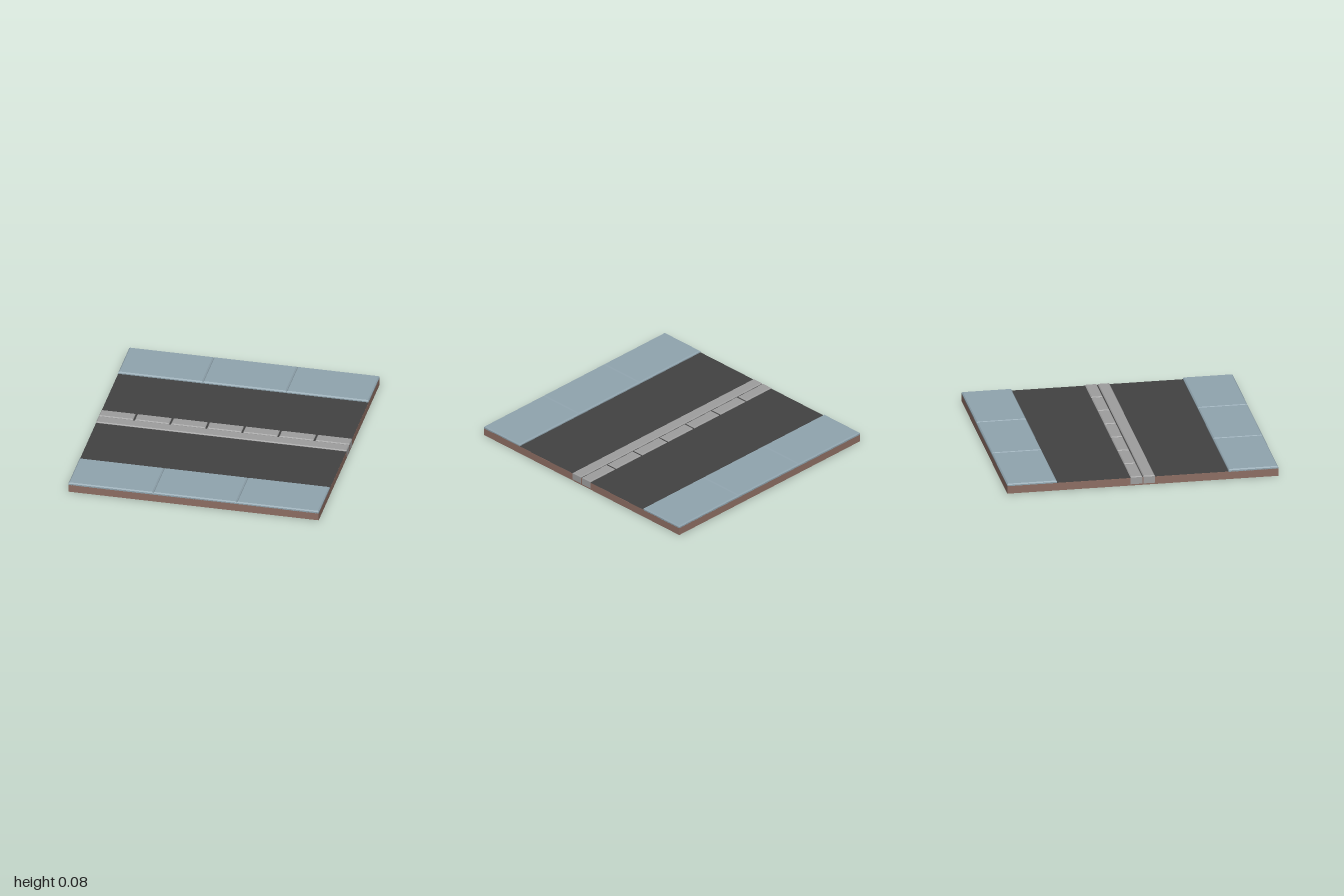
import * as THREE from 'three';

const HALF_X = 0.932;
const ROAD_Y = 0.059;

// Block spanning min..max whose top edges are chamfered by c.
function chamferedBlock([x0, y0, z0], [x1, y1, z1], c) {
  const w = x1 - x0, h = y1 - y0, d = z1 - z0;
  const box = new THREE.BoxGeometry(w, h, d, 1, 2, 1);
  const p = box.attributes.position;
  for (let i = 0; i < p.count; i++) {
    const y = p.getY(i);
    if (Math.abs(y) < 1e-6) p.setY(i, h / 2 - c);
    else if (y > 0) {
      p.setX(i, p.getX(i) * (1 - 2 * c / w));
      p.setZ(i, p.getZ(i) * (1 - 2 * c / d));
    }
  }
  const geometry = box.toNonIndexed();
  geometry.translate((x0 + x1) / 2, (y0 + y1) / 2, (z0 + z1) / 2);
  geometry.computeVertexNormals();
  return geometry;
}

export function createModel() {
  const group = new THREE.Group();
  const paint = (color) => new THREE.MeshStandardMaterial({ color });
  const earth = paint(0x8d6e63), asphalt = paint(0x424242);
  const paving = paint(0x90a4ae), marking = paint(0x9e9e9e);

  const add = (name, geometry, material) => {
    const mesh = new THREE.Mesh(geometry, material);
    mesh.name = name;
    group.add(mesh);
    return mesh;
  };

  // Earth base with the road surface on top
  const baseHeight = ROAD_Y - 0.001;
  add('base', new THREE.BoxGeometry(HALF_X * 2, baseHeight, 2).translate(0, baseHeight / 2, 0), earth);
  add('roadSurface', new THREE.PlaneGeometry(HALF_X * 2, 2).rotateX(-Math.PI / 2).translate(0, ROAD_Y, 0), asphalt);

  // Three paving slabs along each side
  const joints = [-HALF_X, -0.302, 0.32, HALF_X];
  for (const [side, z0, z1] of [['front', 0.633, 1], ['back', -1, -0.633]]) {
    for (let i = 0; i < 3; i++) {
      add(`${side}PavingSlab${i + 1}`,
        chamferedBlock([joints[i], 0.056, z0], [joints[i + 1], 0.075, z1], 0.008), paving);
    }
  }

  // Solid centre line, and the dashed line behind it
  const end = HALF_X + 0.001;
  add('solidLine', chamferedBlock([-end, 0.01, 0.004], [end, 0.068, 0.09], 0.006), marking);
  const count = 7, gap = 0.014;
  const length = (2 * end - gap * (count - 1)) / count;
  for (let i = 0; i < count; i++) {
    const x = -end + i * (length + gap);
    add(`dash${i + 1}`,
      chamferedBlock([x, 0.01, -0.09], [x + length, 0.068, -0.004], 0.006), marking);
  }
  return group;
}
